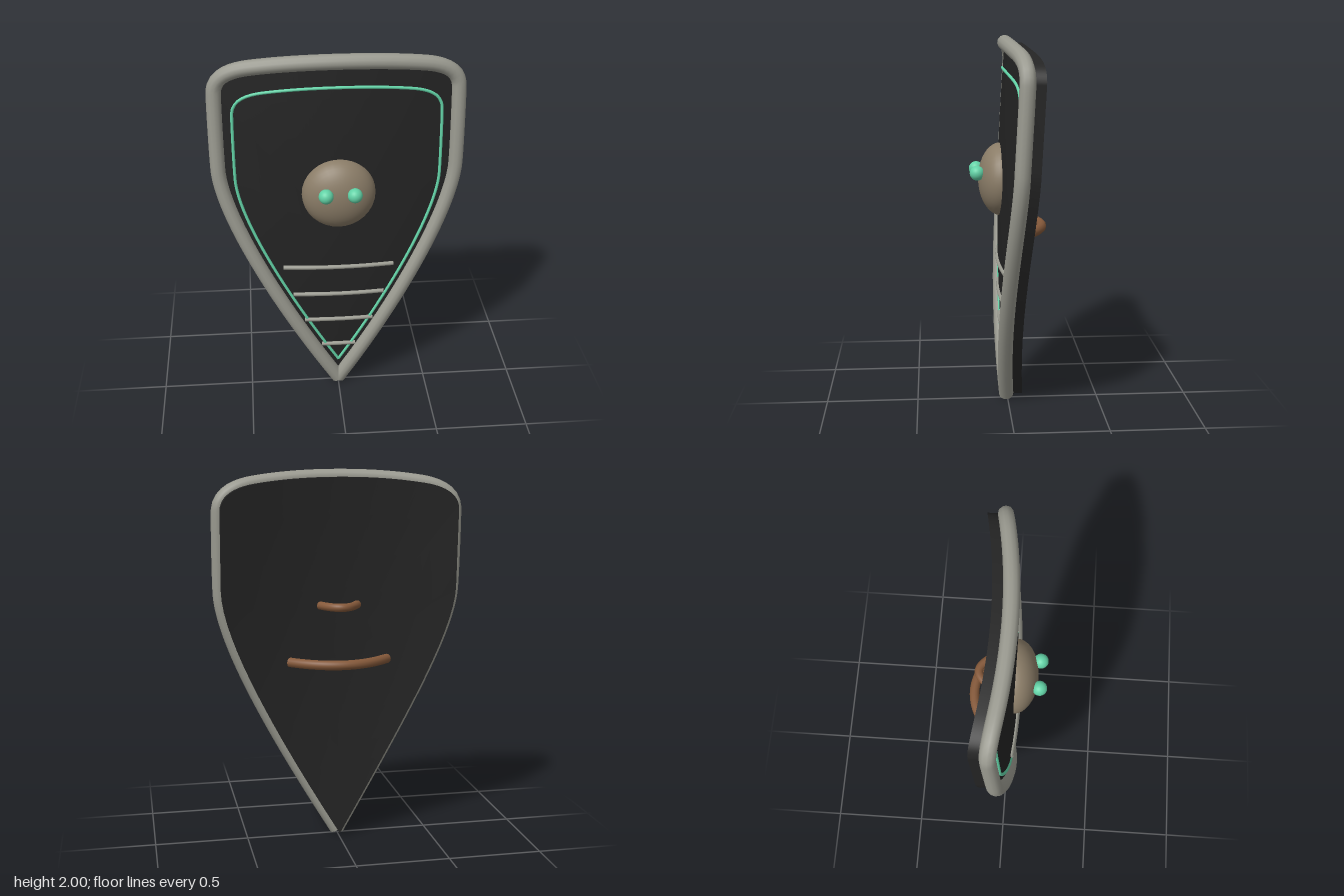
import * as THREE from 'three';

const mat = (name, color, side = THREE.FrontSide) => {
  const m = new THREE.MeshStandardMaterial({ color, side });
  m.name = name;
  return m;
};

// Shallow bowl that the whole shield follows
const bend = (x, y) => 0.05 - 0.19 * x * x - 0.045 * (y - 1) ** 2;
const THICK = 0.09;

// Outline, counter-clockwise from the tip and back to it
function outlinePoints() {
  const s = new THREE.Shape();
  s.moveTo(0, 0.022);
  s.quadraticCurveTo(0.62, 1.05, 0.625, 1.38);
  s.lineTo(0.625, 1.8);
  s.quadraticCurveTo(0.615, 1.9, 0.45, 1.928);
  s.quadraticCurveTo(0.25, 1.96, 0, 1.96);
  const half = s.getPoints(14);
  const mirrored = half.slice(0, -1).reverse().map((p) => new THREE.Vector2(-p.x, p.y));
  return [...half, ...mirrored];
}

// Surface from rows of points; rows run outward or backward
function skin(rows, flip) {
  const n = rows[0].length, pos = [], idx = [];
  rows.forEach((r) => r.forEach((p) => pos.push(p.x, p.y, p.z)));
  for (let i = 0; i < rows.length - 1; i++) {
    for (let j = 0; j < n - 1; j++) {
      const a = i * n + j, b = a + 1, c = a + n, d = c + 1;
      if (flip) idx.push(a, b, c, b, d, c);
      else idx.push(a, c, b, b, c, d);
    }
  }
  const g = new THREE.BufferGeometry();
  g.setAttribute('position', new THREE.Float32BufferAttribute(pos, 3));
  g.setIndex(idx);
  g.computeVertexNormals();
  return g;
}

export function createModel() {
  const group = new THREE.Group();
  const black = mat('blackPlate', 0x242424);
  const grey = mat('greyMetal', 0x9a9a90, THREE.DoubleSide);
  const teal = mat('tealGlow', 0x62d2a6);
  const bronze = mat('dullBronze', 0x8a7c67, THREE.DoubleSide);
  const leather = mat('brownLeather', 0x85593a);

  const add = (name, geo, material, parent = group) => {
    const m = new THREE.Mesh(geo, material);
    m.name = name;
    parent.add(m);
    return m;
  };

  // Round bar along points, with optional end caps
  const rod = (name, pts, radius, material, caps = true) => {
    const path = new THREE.CurvePath();
    for (let i = 0; i < pts.length - 1; i++) path.add(new THREE.LineCurve3(pts[i], pts[i + 1]));
    const curve = new THREE.CatmullRomCurve3(pts, false, 'centripetal');
    const g = new THREE.Group();
    g.name = name;
    group.add(g);
    add(name + 'Bar', new THREE.TubeGeometry(curve, Math.max(24, pts.length * 2), radius, 12), material, g);
    if (caps) {
      for (const t of [0, 1]) {
        const cap = add(name + 'End', new THREE.CircleGeometry(radius, 12), material, g);
        const dir = curve.getTangent(t).multiplyScalar(t ? 1 : -1);
        cap.position.copy(curve.getPoint(t));
        cap.quaternion.setFromUnitVectors(new THREE.Vector3(0, 0, 1), dir);
      }
    }
  };

  const outline = outlinePoints();
  const onShield = (p, k, dz = 0) => {
    const x = p.x * k, y = 1 + (p.y - 1) * k;
    return new THREE.Vector3(x, y, bend(x, y) + dz);
  };

  // Curved plate: front, back and edge
  const scales = [0.001, 0.2, 0.4, 0.6, 0.8, 1];
  const face = (dz) => scales.map((k) => outline.map((p) => onShield(p, k, dz)));
  add('plateFront', skin(face(0), false), black);
  add('plateBack', skin(face(-THICK), true), black);
  add('plateEdge', skin([0, -THICK].map((dz) => outline.map((p) => onShield(p, 1, dz))), false), black);

  // Thick rim and thin inlaid line, both open at the tip
  rod('rim', outline.map((p) => onShield(p, 1)), 0.04, grey, false);
  rod('inlayLine', outline.map((p) => onShield(p, 0.862, 0.002)), 0.008, teal);

  // Cross bars near the tip
  [[0.795, 0.3], [0.62, 0.25], [0.447, 0.19], [0.272, 0.095]].forEach(([y, w], i) => {
    const pts = [-1, -0.5, 0, 0.5, 1].map((k) => new THREE.Vector3(k * w, y, bend(k * w, y) + 0.002));
    rod('crossBar' + (i + 1), pts, 0.012, grey);
  });

  // Central boss
  const dome = new THREE.SphereGeometry(0.195, 32, 12, 0, Math.PI * 2, 0, Math.PI / 2);
  dome.rotateX(Math.PI / 2);
  dome.scale(1, 1, 0.62);
  add('boss', dome, bronze).position.set(0, 1.245, 0.036);

  // Two beads on the boss
  for (const s of [1, -1]) {
    add(s > 0 ? 'leftBead' : 'rightBead', new THREE.SphereGeometry(0.039, 24, 16), teal)
      .position.set(s * 0.075, 1.29, 0.165);
  }

  // Hand grip and arm strap on the back
  const strap = (name, y, w, apex, r) => {
    const ends = -0.05;
    const c = new THREE.QuadraticBezierCurve3(
      new THREE.Vector3(-w, y, ends),
      new THREE.Vector3(0, y, 2 * apex - ends),
      new THREE.Vector3(w, y, ends));
    rod(name, c.getPoints(16), r, leather);
  };
  strap('handGrip', 1.29, 0.1, -0.152, 0.022);
  strap('armStrap', 0.99, 0.265, -0.183, 0.026);

  return group;
}
